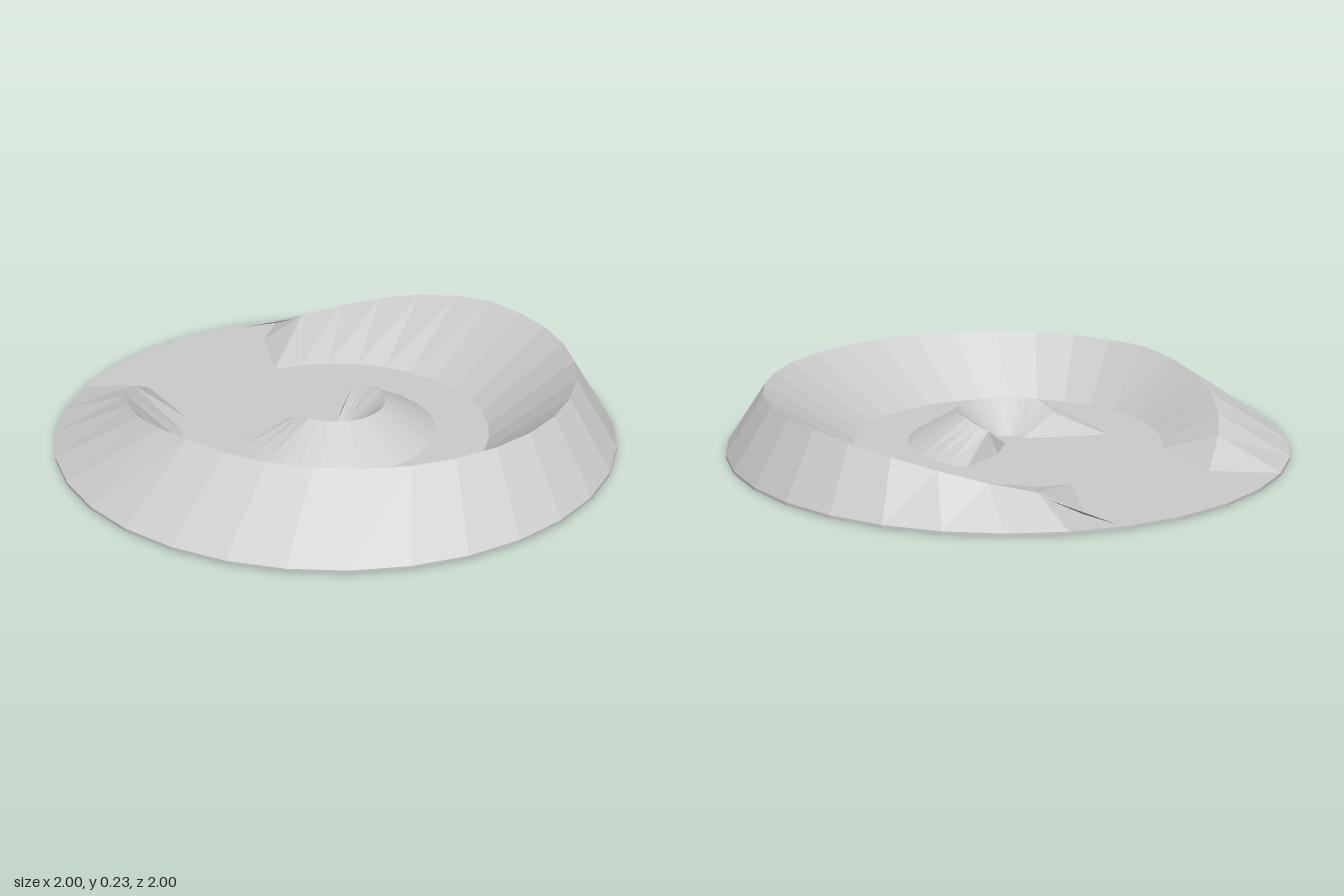
import * as THREE from 'three';

const SIDES = 32;
const THICK = 0.01;

// Crest heights by step away from the opening on the -x side; the last value carries on round.
const RIDGE = [0, 0, 0, 0.09, 0.125, 0.16, 0.19, 0.213, 0.23];
const CONE = [0, 0, 0, 0, 0, 0, 0.09, 0.1, 0.11, 0.12];

// A ring of points about (0, z), starting at the -x side
function ring(radius, heights = [0], z = 0) {
  return Array.from({ length: SIDES }, (_, i) => {
    const t = (i / SIDES) * Math.PI * 2;
    const step = Math.min(i, SIDES - i, heights.length - 1);
    const y = Math.max(THICK, heights[step]);
    return [-Math.cos(t) * radius, y, z + Math.sin(t) * radius];
  });
}

const lower = (p) => [p[0], p[1] - THICK, p[2]];

// Thin shell through rings listed from the outside in
function shell(name, rings, material, withEdge = false) {
  const pos = [];
  const quad = (a, b, c, d) => pos.push(...a, ...b, ...c, ...a, ...c, ...d);
  for (let r = 0; r < rings.length - 1; r++) {
    for (let i = 0; i < SIDES; i++) {
      const j = (i + 1) % SIDES;
      const a = rings[r][i], b = rings[r][j];
      const c = rings[r + 1][j], d = rings[r + 1][i];
      quad(a, b, c, d);
      quad(lower(d), lower(c), lower(b), lower(a));
      if (withEdge && r === 0) quad(lower(a), lower(b), b, a);
    }
  }
  const geometry = new THREE.BufferGeometry();
  geometry.setAttribute('position', new THREE.Float32BufferAttribute(pos, 3));
  geometry.computeVertexNormals();
  const mesh = new THREE.Mesh(geometry, material);
  mesh.name = name;
  return mesh;
}

export function createModel() {
  const grey = new THREE.MeshStandardMaterial({ color: 0xcccccc, flatShading: true });
  grey.name = 'plain grey';

  const rim = ring(1);
  const ridgeCrest = ring(0.8, RIDGE, -0.08);
  const floorEdge = ring(0.55);
  const coneFoot = ring(0.36);
  const coneCrest = ring(0.178, CONE);
  const coneHole = ring(0.05);

  const model = new THREE.Group();
  model.name = 'craterDish';
  model.add(
    // Outer bank, sinking to floor level at the opening
    shell('outerRidge', [rim, ridgeCrest, floorEdge], grey, true),
    // Flat floor between the bank and the middle
    shell('floor', [floorEdge, coneFoot], grey),
    // Small hollow mound with the same opening
    shell('centreMound', [coneFoot, coneCrest, coneHole], grey),
    // Flat bottom of the mound's hollow
    shell('moundFloor', [coneHole, ring(0)], grey)
  );
  return model;
}
